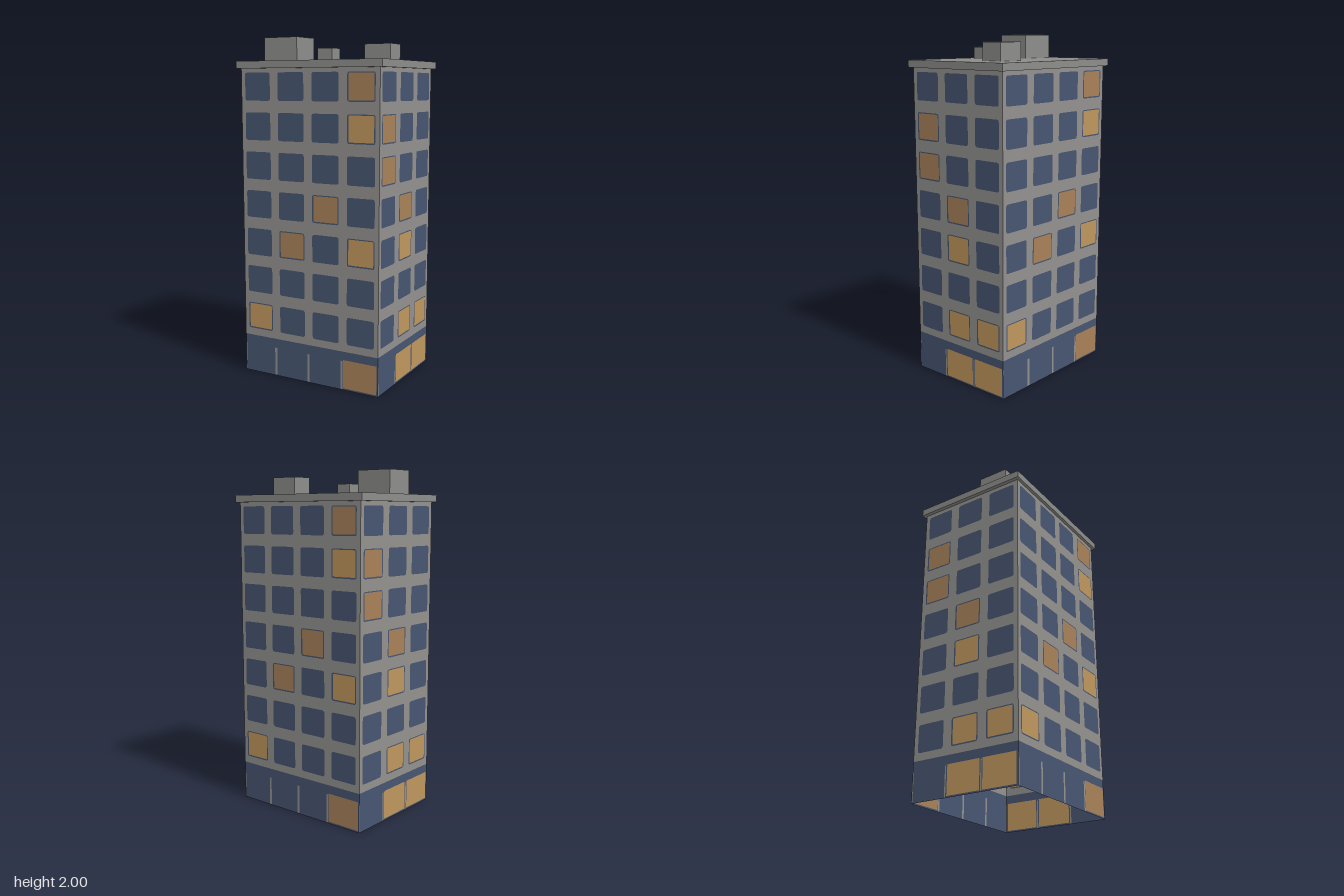
import * as THREE from 'three';

const mat = (name, color, side = THREE.DoubleSide) =>
  new THREE.MeshStandardMaterial({ name, color, side });

const W = 0.9, D = 0.68, H = 1.82, FLOOR = H / 8, BASE = 0.228;

// Rectangle outline with slightly rounded corners (r = 0 gives square corners)
function rect(x0, y0, x1, y1, r = 0) {
  const s = new THREE.Shape();
  if (!r) {
    s.moveTo(x0, y0).lineTo(x1, y0).lineTo(x1, y1).lineTo(x0, y1).closePath();
    return s;
  }
  s.moveTo(x0 + r, y0).lineTo(x1 - r, y0).quadraticCurveTo(x1, y0, x1, y0 + r);
  s.lineTo(x1, y1 - r).quadraticCurveTo(x1, y1, x1 - r, y1);
  s.lineTo(x0 + r, y1).quadraticCurveTo(x0, y1, x0, y1 - r);
  s.lineTo(x0, y0 + r).quadraticCurveTo(x0, y0, x0 + r, y0);
  return s;
}

export function createModel() {
  const concrete = mat('concrete', 0x92918e);
  const roofGrey = mat('roofGrey', 0x8c8c8a, THREE.FrontSide);
  const glass = mat('darkGlass', 0x475570);
  const bright = mat('brightWindow', 0xbf965d);
  const dim = mat('dimWindow', 0xa88159);

  const model = new THREE.Group();
  model.name = 'apartmentBlock';

  // One facade in the XY plane. lit: 'floor,column' -> material;
  // shops: [x0, x1, material] shop windows; posts: [x, width] pale posts
  function facade(name, width, cols, lit, shops, posts) {
    const group = new THREE.Group();
    group.name = name;
    const add = (part, shapes, material) => {
      if (!shapes.length) return;
      const mesh = new THREE.Mesh(new THREE.ShapeGeometry(shapes, 3), material);
      mesh.name = part;
      group.add(mesh);
    };
    const panes = new Map([[bright, []], [dim, []]]);
    const windows = [];
    const wall = rect(-width / 2, BASE, width / 2, H);

    // Upper floors: a grid of windows let into the wall
    for (let f = 1; f < 8; f++) {
      for (let c = 0; c < cols; c++) {
        const x = (c + 0.5 - cols / 2) * width / cols;
        const y = f * FLOOR + 0.124;
        const outline = () => rect(x - 0.086, y - 0.08, x + 0.086, y + 0.08, 0.014);
        wall.holes.push(outline());
        const win = outline();
        const m = lit[`${f},${c}`];
        if (m) {
          const pane = () => rect(x - 0.077, y - 0.072, x + 0.079, y + 0.074, 0.005);
          win.holes.push(pane());
          panes.get(m).push(pane());
        }
        windows.push(win);
      }
    }

    // Ground floor: glazed front with posts and lit shop windows
    const front = rect(-width / 2, 0, width / 2, BASE);
    const postShapes = [];
    for (const [x, w] of posts) {
      const post = () => rect(x - w / 2, 0.004, x + w / 2, 0.172);
      front.holes.push(post());
      postShapes.push(post());
    }
    for (const [x0, x1, m] of shops) {
      const shop = () => rect(x0, 0.01, x1, 0.178);
      front.holes.push(shop());
      panes.get(m).push(shop());
    }

    add('wall', [wall], concrete);
    add('windows', windows, glass);
    add('groundFloorGlazing', [front], glass);
    add('groundFloorPosts', postShapes, concrete);
    add('brightPanes', panes.get(bright), bright);
    add('dimPanes', panes.get(dim), dim);
    return group;
  }

  // Opposite facades match, so each is built twice, half a turn apart
  const longLit = {
    '7,3': dim, '6,3': bright, '4,2': dim, '3,1': dim, '3,3': bright, '1,0': bright,
  };
  const shortLit = {
    '6,0': dim, '5,0': dim, '4,1': dim, '3,1': bright, '1,1': bright, '1,2': bright,
  };
  for (const [side, turn] of [['front', 0], ['back', Math.PI]]) {
    const f = facade(side + 'Facade', W, 4, longLit, [[0.228, 0.441, dim]],
      [[-0.446, 0.006], [-0.23, 0.015], [-0.003, 0.015], [0.219, 0.012]]);
    f.rotation.y = turn;
    f.position.z = Math.cos(turn) * D / 2;
    model.add(f);
  }
  for (const [side, turn] of [['right', Math.PI / 2], ['left', -Math.PI / 2]]) {
    const f = facade(side + 'Facade', D, 3, shortLit,
      [[-0.105, 0.103, bright], [0.122, 0.329, bright]],
      [[-0.335, 0.005], [-0.116, 0.008], [0.113, 0.008]]);
    f.rotation.y = turn;
    f.position.x = Math.sin(turn) * W / 2;
    model.add(f);
  }

  // Roof slab and the plant boxes on it
  const box = (name, x0, x1, y0, y1, z0, z1) => {
    const mesh = new THREE.Mesh(new THREE.BoxGeometry(x1 - x0, y1 - y0, z1 - z0), roofGrey);
    mesh.position.set((x0 + x1) / 2, (y0 + y1) / 2, (z0 + z1) / 2);
    mesh.name = name;
    model.add(mesh);
  };
  box('roofSlab', -0.472, 0.472, H, 1.862, -0.358, 0.358);
  box('liftHousing', -0.378, -0.153, 1.862, 2, 0.017, 0.206);
  box('ventilationUnit', 0.142, 0.311, 1.862, 1.964, -0.2, -0.068);
  box('smallVent', -0.01, 0.084, 1.862, 1.931, 0.12, 0.214);

  return model;
}
